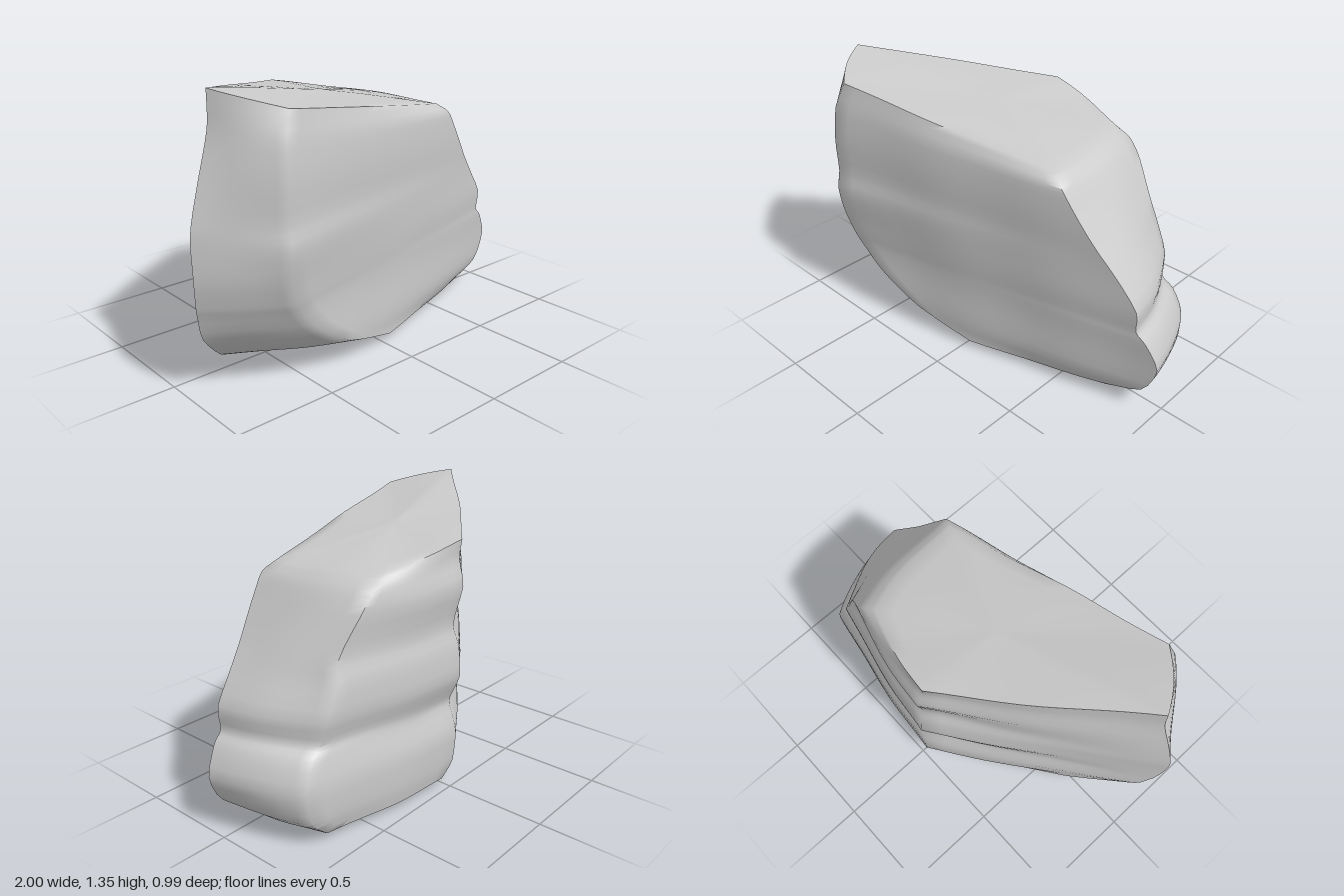
import * as THREE from 'three';
import { toCreasedNormals } from 'three/addons/utils/BufferGeometryUtils.js';

// Five upright ridges of the boulder, bottom to top, as [x, z] per level
const heights = [0.04, 0.13, 0.28, 0.41, 0.46, 0.57, 0.72, 0.82, 1.0, 1.12, 1.2];
const tilt = [0, 0, 0, 0, 0, 0, 0, 0, 0.1, 0.5, 1]; // the top slopes down to +x
const ridges = [
  // left point
  [[-.63, -.03], [-.8, .09], [-.94, .165], [-.98, .2], [-.99, .21], [-1, .22], [-1, .22], [-.99, .22], [-.935, .2], [-.88, .19], [-.87, .17]],
  // front left, cut away towards the ground
  [[.04, .305], [-.27, .375], [-.5, .42], [-.62, .445], [-.65, .455], [-.69, .47], [-.7, .495], [-.7, .48], [-.7, .475], [-.69, .465], [-.65, .43]],
  // front right
  [[.74, .08], [.93, .08], [1, .08], [.94, .1], [.89, .11], [.89, .12], [.78, .15], [.7, .17], [.58, .2], [.52, .21], [.46, .18]],
  // back right
  [[.72, -.36], [.81, -.365], [.83, -.355], [.78, -.34], [.72, -.335], [.71, -.36], [.65, -.36], [.62, -.345], [.51, -.38], [.44, -.38], [.37, -.35]],
  // back
  [[.02, -.47], [-.03, -.495], [-.04, -.495], [-.04, -.45], [-.04, -.46], [-.05, -.505], [-.05, -.485], [-.04, -.46], [-.06, -.495], [-.07, -.455], [-.08, -.46]],
];
const edgeSteps = [8, 16, 8, 10, 12];
const edgeBow = [0.015, 0.01, 0.03, 0.015, 0.01];
const around = edgeSteps.reduce((a, b) => a + b);

// Gentle uneven swell of the stone
function swell(p, amount) {
  const { x, y, z } = p;
  p.x += amount * Math.sin(7 * y + 5 * z + 1) * Math.cos(4 * x + 9 * z);
  p.y += amount * 0.6 * Math.sin(8 * x + 3 * z) * Math.cos(6 * z + 2 * x);
  p.z += amount * Math.sin(6 * x + 9 * y) * Math.cos(5 * x - 7 * y + 1);
  return p;
}

function boulderGeometry() {
  // The top also drops a little towards the front
  const curves = ridges.map(r => new THREE.CatmullRomCurve3(
    r.map(([x, z], i) => new THREE.Vector3(
      x, heights[i] - tilt[i] * (0.18 * x + 0.15 * Math.max(0, z - 0.2)), z)),
    false, 'catmullrom', 0.4));

  // One loop round the stone, with slightly bowed edges
  function ring(t) {
    const corners = curves.map(c => c.getPoint(t));
    const loop = [];
    corners.forEach((a, e) => {
      const b = corners[(e + 1) % corners.length];
      const out = new THREE.Vector3(-(b.z - a.z), 0, b.x - a.x).normalize();
      for (let k = 0; k < edgeSteps[e]; k++) {
        const f = k / edgeSteps[e];
        const bow = edgeBow[e] * Math.sin(Math.PI * f);
        loop.push(swell(a.clone().lerp(b, f).addScaledVector(out, bow), 0.007));
      }
    });
    return loop;
  }

  // Close an end by drawing its loop in to a centre point, flat in the middle
  const cap = (loop, centre, flatness) => [0.85, 0.6, 0.35, 0.12, 0].map(s =>
    loop.map(p => {
      const q = centre.clone().lerp(p, s);
      q.y = THREE.MathUtils.lerp(centre.y, p.y, s ** flatness);
      return swell(q, s > 0 ? 0.005 : 0);
    }));

  const levels = (heights.length - 1) * 3;
  const sides = [];
  for (let i = 0; i <= levels; i++) sides.push(ring(i / levels));
  const bottom = cap(sides[0], new THREE.Vector3(0.22, 0.002, -0.08), 3).reverse();
  const top = cap(sides[levels], new THREE.Vector3(-0.1, 1.23, -0.05), 1);
  const loops = [...bottom, ...sides, ...top];

  const positions = loops.flat().flatMap(p => [p.x, Math.max(0, p.y), p.z]);
  const index = [];
  for (let r = 0; r < loops.length - 1; r++) {
    for (let i = 0; i < around; i++) {
      const a = r * around + i, b = r * around + (i + 1) % around;
      const c = a + around, d = b + around;
      // The first and last loops are single points and need one triangle per step
      if (r === 0) index.push(a, d, c);
      else if (r === loops.length - 2) index.push(a, b, c);
      else index.push(a, b, d, a, d, c);
    }
  }
  const geometry = new THREE.BufferGeometry();
  geometry.setAttribute('position', new THREE.Float32BufferAttribute(positions, 3));
  geometry.setIndex(index);
  return toCreasedNormals(geometry, THREE.MathUtils.degToRad(60));
}

export function createModel() {
  const group = new THREE.Group();
  group.name = 'rock';
  const stone = new THREE.MeshStandardMaterial({ color: 0xcacaca });
  stone.name = 'grey stone';
  const boulder = new THREE.Mesh(boulderGeometry(), stone);
  boulder.name = 'boulder';
  group.add(boulder);
  return group;
}
